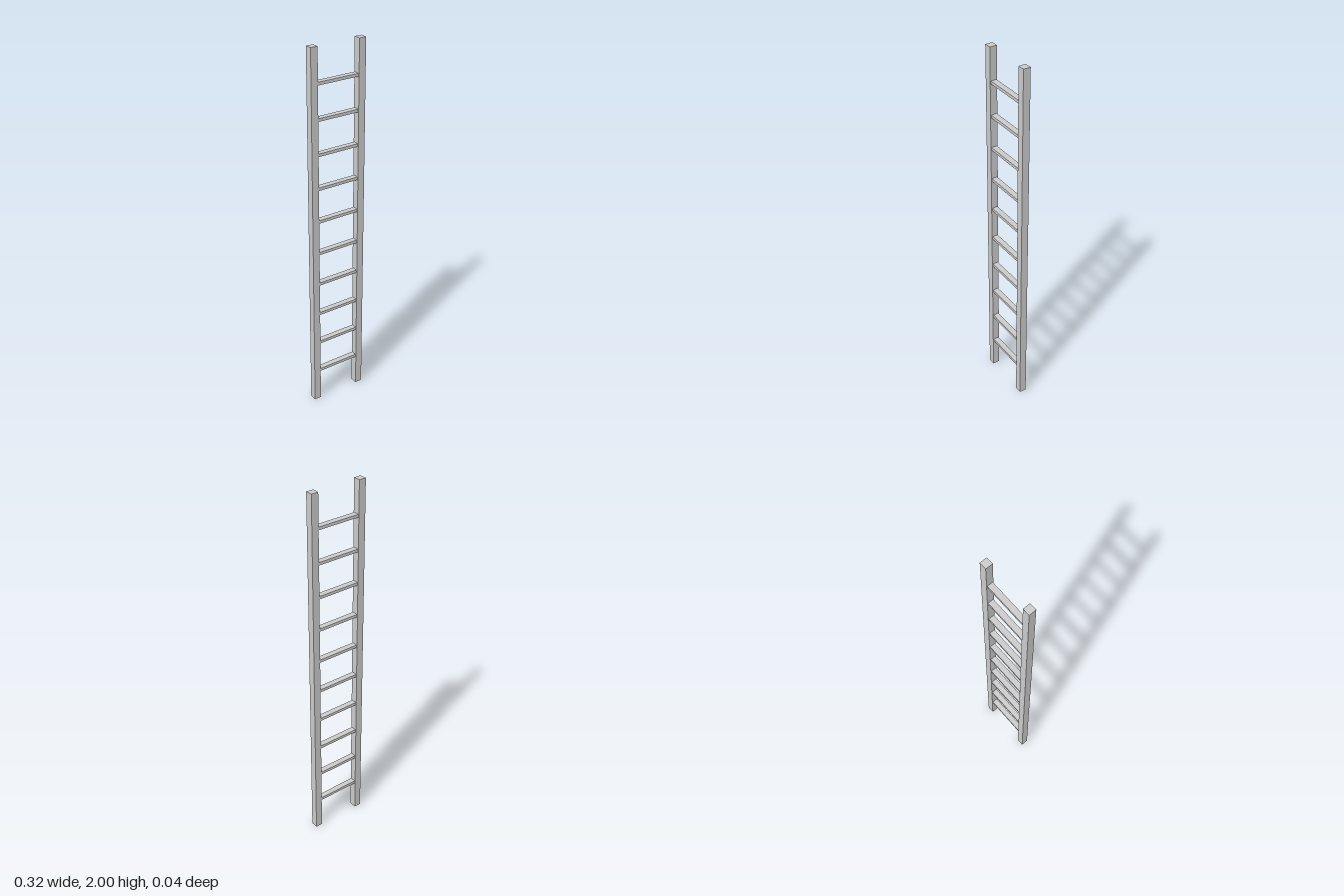
import * as THREE from 'three';

export function createModel() {
  const group = new THREE.Group();
  group.name = 'ladder';
  const material = new THREE.MeshStandardMaterial({ color: 0xcccccc, flatShading: true });

  const height = 2;
  const railSize = 0.039;
  const railX = 0.1385;
  const rungCount = 10;

  const addBox = (name, size, position) => {
    const mesh = new THREE.Mesh(new THREE.BoxGeometry(...size), material);
    mesh.name = name;
    mesh.position.set(...position);
    group.add(mesh);
  };

  // Two square side rails
  addBox('leftRail', [railSize, height, railSize], [railX, height / 2, 0]);
  addBox('rightRail', [railSize, height, railSize], [-railX, height / 2, 0]);

  // Evenly spaced flat rungs, fitted between the rails
  const rungLength = 2 * railX - railSize;
  for (let i = 1; i <= rungCount; i++) {
    addBox(`rung${i}`, [rungLength, 0.016, 0.031], [0, (height * i) / (rungCount + 1), 0]);
  }

  return group;
}
